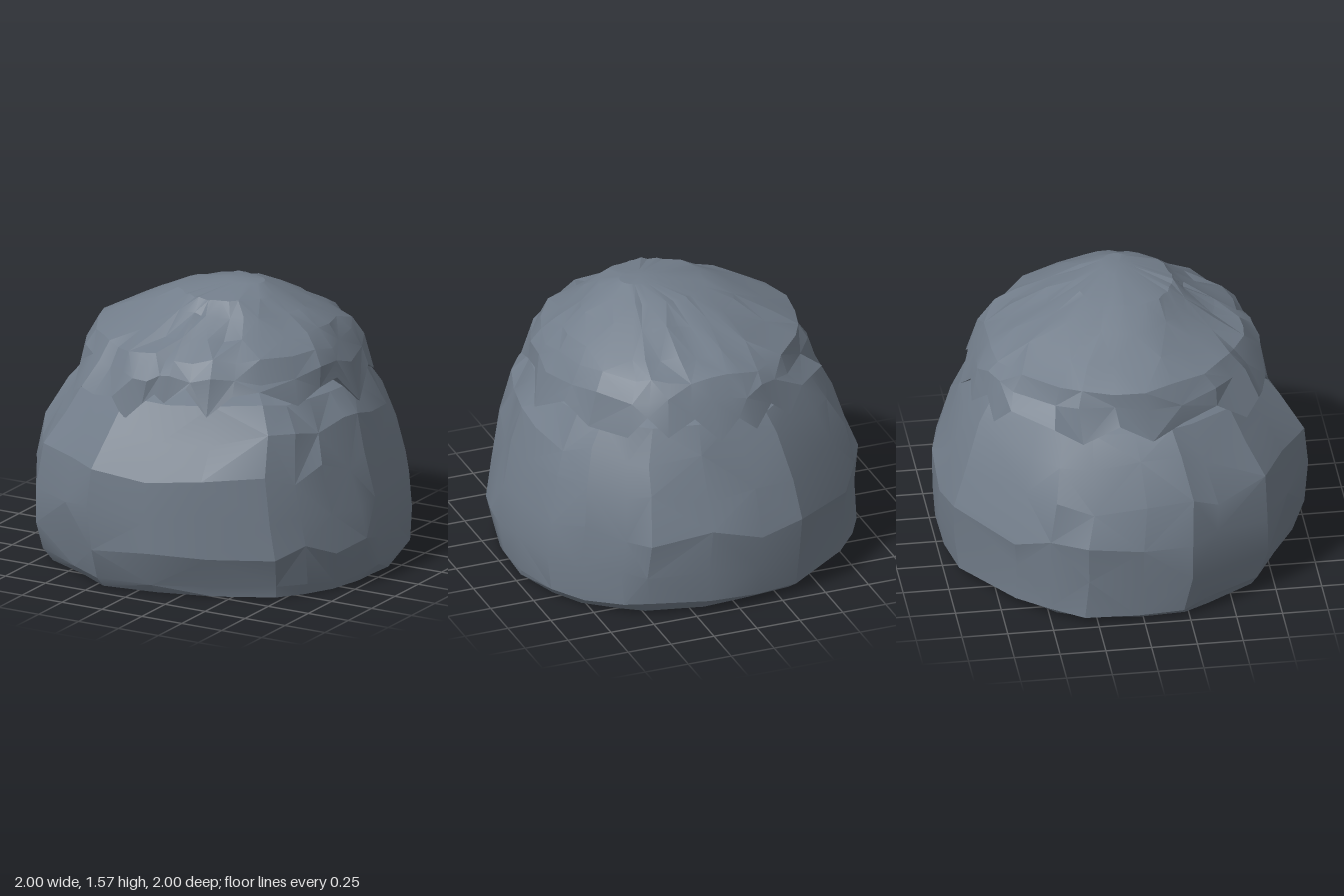
import * as THREE from 'three';
import { toCreasedNormals } from 'three/addons/utils/BufferGeometryUtils.js';

let seed = 11;
const rand = () => {
  seed = (seed * 16807) % 2147483647;
  return (seed / 2147483647) * 2 - 1;
};
const clamp = THREE.MathUtils.clamp;

// Stretches a unit outline to the bounds of one level and roughens it.
function ring(outline, y, [x0, x1, z0, z1], roughXZ, roughY) {
  return outline.map(([x, z]) => {
    const k = 1 + rand() * roughXZ;
    return [
      clamp((x0 + x1) / 2 + (x * k * (x1 - x0)) / 2, -1, 1),
      y + rand() * roughY,
      clamp((z0 + z1) / 2 + (z * k * (z1 - z0)) / 2, -1, 1),
    ];
  });
}

// Skins rings from bottom to top, closing each end with a fan.
function loft(rings, bottom, top) {
  const pos = [];
  const tri = (a, b, c) => pos.push(...a, ...b, ...c);
  const n = rings[0].length;
  for (let j = 0; j < n; j++) {
    const k = (j + 1) % n;
    for (let i = 0; i < rings.length - 1; i++) {
      const a = rings[i][j], b = rings[i][k], c = rings[i + 1][k], d = rings[i + 1][j];
      if ((i + j) % 2) { tri(a, d, c); tri(a, c, b); }
      else { tri(a, d, b); tri(d, c, b); }
    }
    const last = rings[rings.length - 1];
    if (bottom) tri(bottom, rings[0][j], rings[0][k]);
    if (top) tri(top, last[k], last[j]);
  }
  const geo = new THREE.BufferGeometry();
  geo.setAttribute('position', new THREE.Float32BufferAttribute(pos, 3));
  return toCreasedNormals(geo, 0.3);
}

export function createModel() {
  seed = 11;
  const model = new THREE.Group();
  model.name = 'boulder';
  const stone = new THREE.MeshStandardMaterial({ color: 0x727d8a, side: THREE.DoubleSide });
  stone.name = 'slate grey stone';
  const add = (name, geo) => {
    const mesh = new THREE.Mesh(geo, stone);
    mesh.name = name;
    model.add(mesh);
  };

  // Plan outline of the main rock, from the left side round the front
  const plan = [
    [1, 0], [0.99, 0.13], [0.93, 0.35], [0.85, 0.53], [0.74, 0.68], [0.42, 0.86],
    [0.1, 0.96], [-0.23, 1], [-0.45, 0.86], [-0.73, 0.72], [-0.9, 0.42], [-0.98, 0.27],
    [-1, 0], [-0.97, -0.3], [-0.88, -0.5], [-0.74, -0.67], [-0.37, -0.95], [-0.12, -1],
    [0.17, -1], [0.5, -0.92], [0.62, -0.84], [0.8, -0.68], [0.92, -0.5], [0.99, -0.2],
  ];
  const levels = [
    [0, [-0.93, 0.95, -0.9, 0.88]],
    [0.05, [-0.975, 0.97, -0.98, 0.91]],
    [0.25, [-0.99, 1, -0.99, 0.98]],
    [0.45, [-1, 0.97, -1, 0.99]],
    [0.67, [-0.94, 0.92, -0.93, 0.97]],
    [0.88, [-0.83, 0.865, -0.85, 0.85]],
    [1.03, [-0.72, 0.76, -0.77, 0.74]],
    [1.18, [-0.45, 0.5, -0.5, 0.45]],
  ];
  const body = levels.map(([y, b], i) =>
    ring(plan, y, b, 0.012, i === 0 ? 0 : i === 1 ? 0.02 : i > 5 ? 0.01 : 0.045));
  add('mainRock', loft(body, [0, 0, 0], [0, 1.2, 0]));

  // Jagged lower rim of the cap: x, z, y
  const rim = [
    [0.83, -0.09, 0.95], [0.77, 0.05, 1.11], [0.75, 0.2, 1.09], [0.72, 0.38, 1.03],
    [0.58, 0.55, 1.13], [0.46, 0.64, 1.11], [0.35, 0.73, 1.0], [0.22, 0.73, 1.14],
    [0.1, 0.76, 1.05], [0.04, 0.76, 1.09], [-0.03, 0.77, 1.03], [-0.13, 0.8, 0.93],
    [-0.22, 0.77, 1.04], [-0.36, 0.73, 1.02], [-0.45, 0.7, 1.04], [-0.55, 0.62, 0.98],
    [-0.6, 0.45, 1.1], [-0.69, 0.25, 1.06], [-0.76, 0.08, 1.0], [-0.75, -0.1, 1.1],
    [-0.74, -0.3, 1.0], [-0.7, -0.45, 1.08], [-0.5, -0.66, 1.1], [-0.4, -0.74, 0.98],
    [-0.28, -0.76, 1.08], [-0.17, -0.83, 0.98], [-0.07, -0.82, 1.06], [0.05, -0.86, 0.96],
    [0.18, -0.8, 1.09], [0.33, -0.79, 1.0], [0.42, -0.71, 1.1], [0.52, -0.67, 0.98],
    [0.68, -0.5, 1.0], [0.75, -0.32, 1.08],
  ];
  const round = rim.map(([x, z]) => {
    const r = Math.hypot(x, z);
    return [x / r, z / r];
  });
  const capLevels = [
    [1.18, [-0.71, 0.76, -0.79, 0.75], 0.025, 0.025],
    [1.27, [-0.68, 0.71, -0.73, 0.67], 0.025, 0.02],
    [1.35, [-0.52, 0.63, -0.58, 0.52], 0.03, 0.015],
    [1.44, [-0.35, 0.51, -0.38, 0.37], 0.03, 0.012],
    [1.515, [-0.19, 0.39, -0.23, 0.3], 0.03, 0.008],
    [1.565, [0.06, 0.29, -0.07, 0.1], 0, 0],
  ];
  const cap = [
    rim.map(([x, z, y]) => [x * 0.86, y + 0.04, z * 0.86]),
    rim.map(([x, z, y]) => [x, y, z]),
    ...capLevels.map(([y, b, rxz, ry]) => ring(round, y, b, rxz, ry)),
  ];
  add('capRock', loft(cap, null, [0.17, 1.572, 0.02]));

  return model;
}
